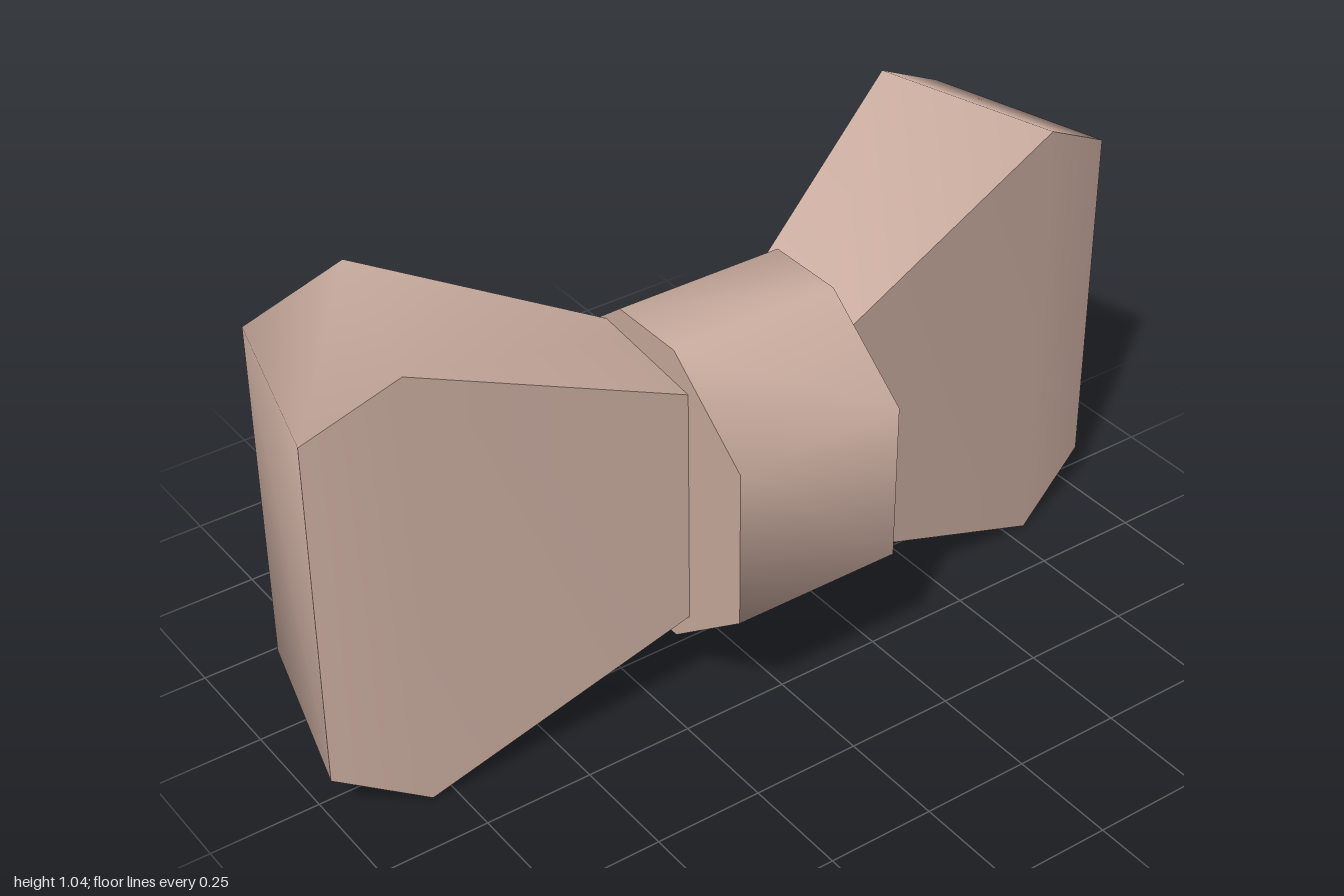
import * as THREE from 'three';
import { mergeGeometries } from 'three/addons/utils/BufferGeometryUtils.js';

const MID_Y = 0.525; // height of the mirror plane

function surface(points, quads) {
  const geo = new THREE.BufferGeometry();
  geo.setAttribute('position', new THREE.Float32BufferAttribute(points.flat(), 3));
  geo.setIndex(quads.flatMap(([a, b, c, d]) => [a, b, c, a, c, d]));
  geo.computeVertexNormals();
  return geo;
}

// Solid between two faces, each given by its upper outline [x, height above middle, z].
// The rim is smooth, with sharp edges where it meets the faces.
function loft(upperA, upperB, closed) {
  const n = upperA.length, m = 2 * n;
  const outline = (u) => [
    ...u.map(([x, h, z]) => [x, MID_Y + h, z]),
    ...u.map(([x, h, z]) => [x, MID_Y - h, z]).reverse(),
  ];
  const a = outline(upperA), b = outline(upperB);
  const rim = [], capA = [], capB = [];
  for (let i = 0; i < (closed ? m : m - 1); i++) {
    const j = (i + 1) % m;
    rim.push([i, j, m + j, m + i]);
  }
  for (let i = 0; i < n - 1; i++) {
    const q = [i, m - 1 - i, m - 2 - i, i + 1];
    capA.push(q);
    capB.push([...q].reverse());
  }
  return mergeGeometries([surface([...a, ...b], rim), surface(a, capA), surface(b, capB)]);
}

export function createModel() {
  const group = new THREE.Group();
  const fabric = new THREE.MeshStandardMaterial({ color: 0xcbada0 });
  fabric.name = 'dusty pink fabric';

  const add = (name, geo) => {
    const mesh = new THREE.Mesh(geo, fabric);
    mesh.name = name;
    group.add(mesh);
  };

  // Flared wings, swept backwards, with their inner ends inside the knot
  const front = [[0.1, 0.24, 0.2], [0.8, 0.52, 0.12], [1, 0.41, 0.065]];
  const back = [[0.1, 0.268, -0.055], [0.68, 0.52, -0.31], [0.885, 0.41, -0.365]];
  const flip = (pts) => pts.map(([x, h, z]) => [-x, h, z]);
  add('leftWing', loft(front, back, false));
  add('rightWing', loft(flip(back), flip(front), false));

  // Eight-sided centre knot
  const knot = [[0.2, 0.185, 0.365], [0.2, 0.36, 0.14], [0.2, 0.36, -0.05], [0.2, 0.185, -0.275]];
  add('knot', loft(knot, flip(knot), true));

  return group;
}
